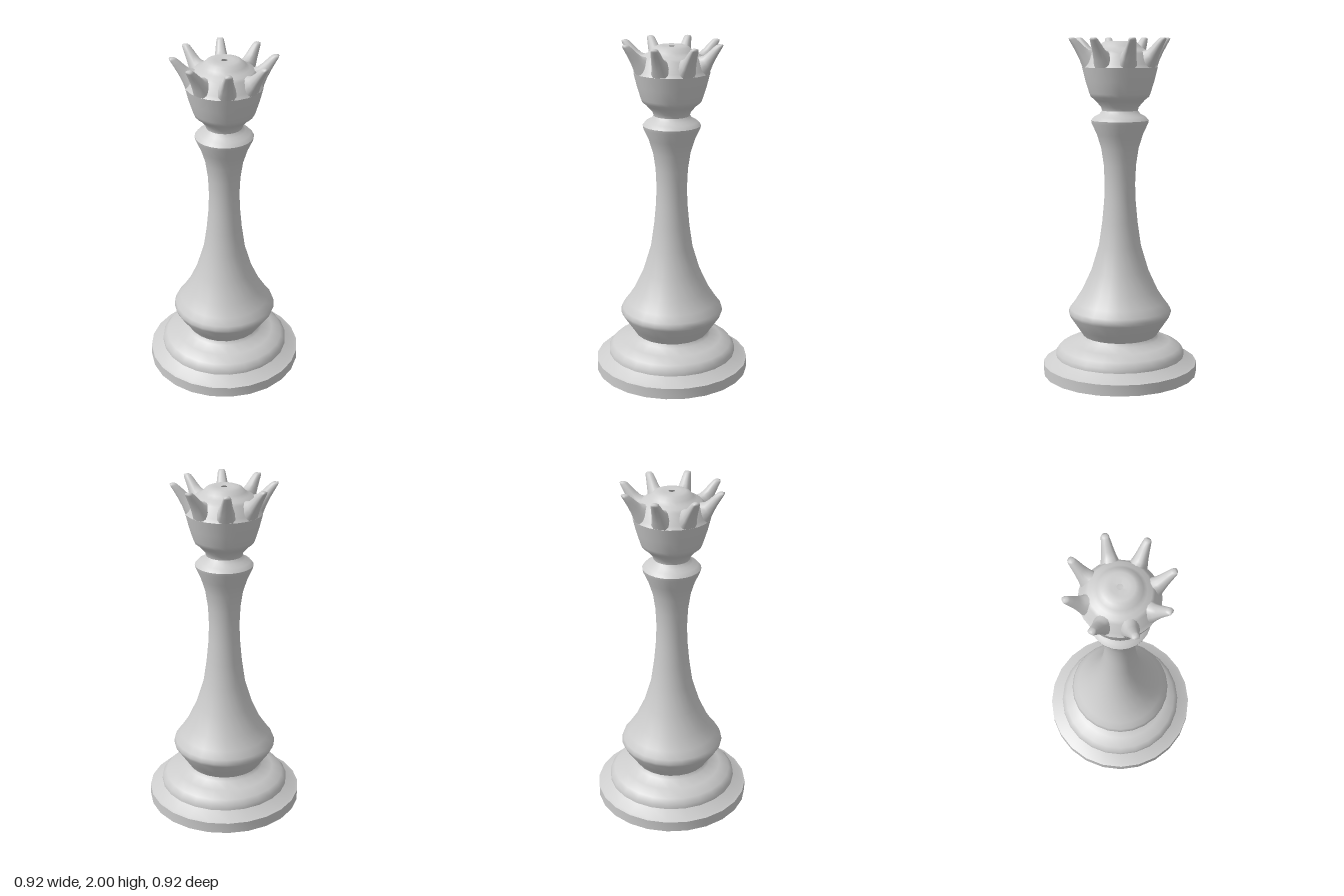
import * as THREE from 'three';
import { toCreasedNormals } from 'three/addons/utils/BufferGeometryUtils.js';

const SIDES = 24;
const material = new THREE.MeshStandardMaterial({ color: 0xcccccc, side: THREE.DoubleSide });

// Turned shell: [radius, height] pairs from bottom to top
function turned(name, profile, crease = 0.7) {
  const points = profile.map(([r, y]) => new THREE.Vector2(r, y));
  const mesh = new THREE.Mesh(toCreasedNormals(new THREE.LatheGeometry(points, SIDES), crease), material);
  mesh.name = name;
  return mesh;
}

// One crown point, lofted outward along +z through rounded sections:
// [outer radius, outer height, inner radius, inner height, half width]
function spikeGeometry() {
  const sections = [
    [0.218, 1.825, 0.15, 1.925, 0.058],
    [0.235, 1.87, 0.185, 1.93, 0.047],
    [0.257, 1.915, 0.212, 1.95, 0.038],
    [0.28, 1.955, 0.238, 1.975, 0.031],
    [0.298, 1.985, 0.26, 1.994, 0.025],
    [0.302, 1.996, 0.27, 2.0, 0.019],
    [0.29, 2.0, 0.282, 2.0, 0.004],
  ];
  const around = 12, positions = [], index = [];
  const soft = (v) => Math.sign(v) * Math.abs(v) ** 0.75;
  sections.forEach(([ro, yo, ri, yi, w], s) => {
    for (let i = 0; i < around; i++) {
      const a = (i / around) * Math.PI * 2;
      const c = soft(Math.cos(a)), t = (1 + c) / 2;
      // narrower on the inner side
      const x = w * soft(Math.sin(a)) * (0.85 + 0.15 * c);
      positions.push(x, yi + (yo - yi) * t, ri + (ro - ri) * t);
      if (s > 0) {
        const j = (i + 1) % around, p = (s - 1) * around, q = s * around;
        index.push(p + i, p + j, q + j, p + i, q + j, q + i);
      }
    }
  });
  const last = (sections.length - 1) * around;
  for (let i = 1; i < around - 1; i++) index.push(last, last + i, last + i + 1);
  const geometry = new THREE.BufferGeometry();
  geometry.setAttribute('position', new THREE.Float32BufferAttribute(positions, 3));
  geometry.setIndex(index);
  geometry.computeVertexNormals();
  return geometry;
}

export function createModel() {
  const model = new THREE.Group();
  model.name = 'chessQueen';

  // Hollow stepped foot, open underneath
  model.add(turned('base', [
    [0.462, 0], [0.462, 0.065], [0.445, 0.072], [0.387, 0.108], [0.385, 0.135],
    [0.36, 0.163], [0.3, 0.193], [0.235, 0.215], [0.222, 0.235],
  ]));

  // Flared skirt, slender stem and collar
  model.add(turned('stem', [
    [0.222, 0.235], [0.25, 0.278], [0.302, 0.355], [0.309, 0.375], [0.3, 0.4],
    [0.27, 0.44], [0.225, 0.51], [0.17, 0.63], [0.125, 0.78], [0.105, 0.92],
    [0.093, 1.05], [0.09, 1.15], [0.095, 1.26], [0.11, 1.36], [0.135, 1.44],
    [0.165, 1.505], [0.169, 1.523], [0.15, 1.545], [0.12, 1.56], [0.105, 1.58],
  ], 0.9));

  // Crown cup, notched rim and domed top with a small central hole
  model.add(turned('crownCup', [
    [0.105, 1.58], [0.11, 1.6], [0.145, 1.64], [0.17, 1.66], [0.178, 1.68],
    [0.2, 1.75], [0.22, 1.83],
  ]));
  model.add(turned('crownDome', [
    [0.22, 1.83], [0.205, 1.85], [0.18, 1.91], [0.165, 1.925], [0.14, 1.935],
    [0.12, 1.952], [0.1, 1.972], [0.08, 1.98], [0.05, 1.98], [0.017, 1.977],
  ]));

  // Eight crown points
  const points = new THREE.Group();
  points.name = 'crownPoints';
  const geometry = spikeGeometry();
  for (let i = 0; i < 8; i++) {
    const spike = new THREE.Mesh(geometry, material);
    spike.name = 'crownPoint';
    spike.rotation.y = (i * Math.PI) / 4;
    points.add(spike);
  }
  model.add(points);
  return model;
}
